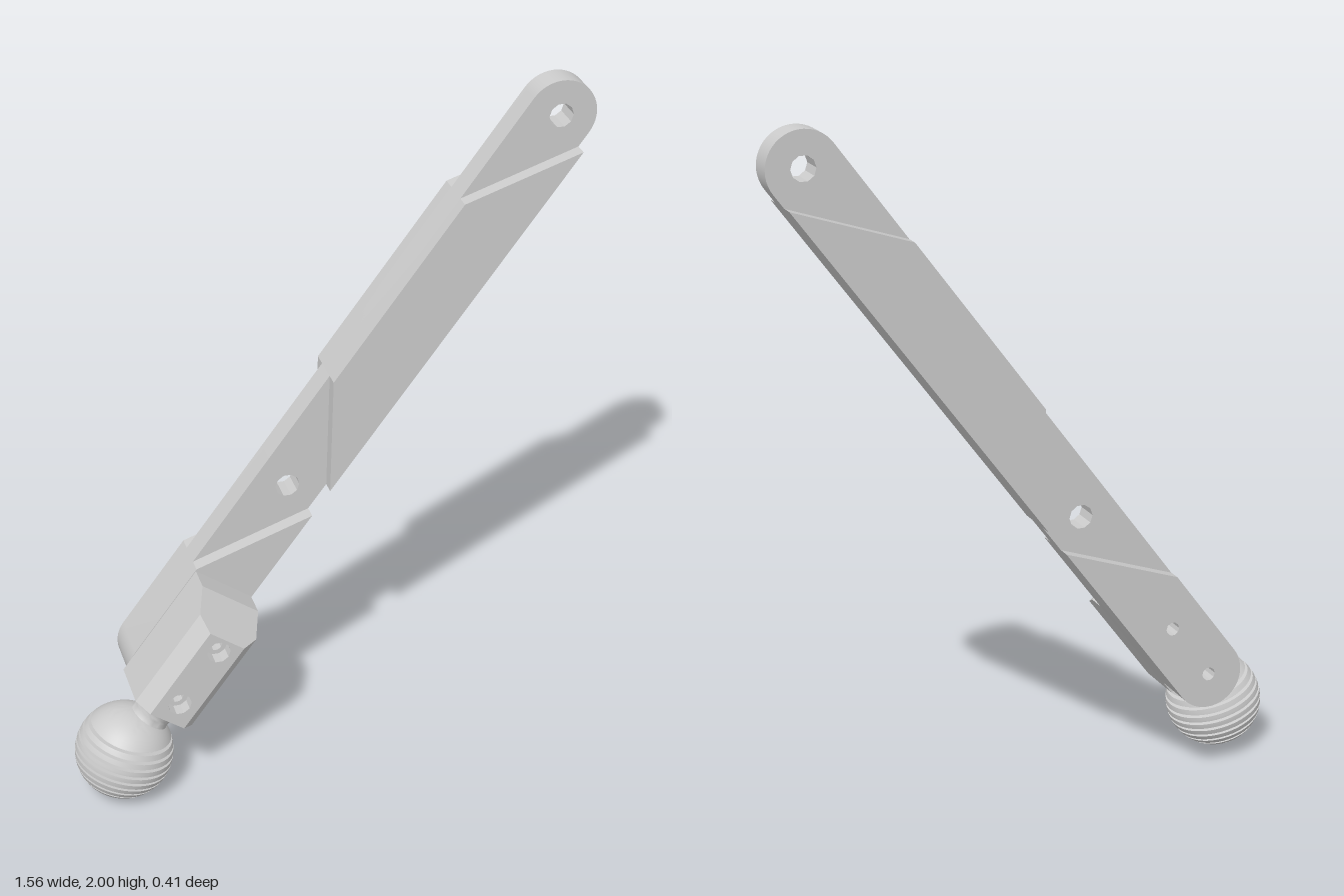
import * as THREE from 'three';
import { toCreasedNormals } from 'three/addons/utils/BufferGeometryUtils.js';

const material = new THREE.MeshStandardMaterial({ color: 0xcccccc });
const HALF = 0.102;            // half the width of the arm
const TOP = 1.298;             // height of the end hole above the middle hole
const SCREWS = [-0.452, -0.648];

function addMesh(parent, name, geometry) {
  const mesh = new THREE.Mesh(toCreasedNormals(geometry, 0.5), material);
  mesh.name = name;
  parent.add(mesh);
  return mesh;
}

function arc(cy, r, from, to, n) {
  return Array.from({ length: n + 1 }, (_, i) => {
    const a = from + ((to - from) * i) / n;
    return new THREE.Vector2(r * Math.cos(a), cy + r * Math.sin(a));
  });
}

// Flat outline with round holes on the centre line, extruded from z0 to z1
function plate(points, holes, z0, z1) {
  const shape = new THREE.Shape(points.map((p) => (p.isVector2 ? p : new THREE.Vector2(...p))));
  for (const [y, r] of holes) {
    shape.holes.push(new THREE.Path(arc(y, r, 0, Math.PI * 2, 10).slice(0, -1)));
  }
  const g = new THREE.ExtrudeGeometry(shape, { depth: z1 - z0, bevelEnabled: false });
  return g.translate(0, 0, z0);
}

// One layer of the clamp block; the outer corners of its front face are moved inward
function blockLayer(z0, z1, half, topY, frontHalf, frontTop, holeRadius) {
  const bottom = -0.713;
  const g = plate(
    [[-half, bottom], [half, bottom], [half, topY], [-half, topY]],
    SCREWS.map((y) => [y, holeRadius]), z0, z1
  );
  const p = g.attributes.position;
  for (let i = 0; i < p.count; i++) {
    if (p.getZ(i) < z1 - 1e-4) continue;
    if (Math.abs(p.getX(i)) > half - 1e-4) p.setX(i, Math.sign(p.getX(i)) * frontHalf);
    if (p.getY(i) > topY - 1e-4) p.setY(i, frontTop);
  }
  g.computeVertexNormals();
  return g;
}

export function createModel() {
  const model = new THREE.Group();
  model.name = 'ballJointArm';

  // Arm frame: origin at the middle hole, y along the arm
  const arm = new THREE.Group();
  arm.name = 'arm';
  arm.position.set(-0.105, 0.862, 0);
  arm.rotation.set(-0.005, 0, -Math.atan2(0.6, 0.8));
  model.add(arm);

  // Thin core with rounded eye and pivot holes
  addMesh(arm, 'core', plate(
    [[-HALF, -0.4], [HALF, -0.4], ...arc(TOP, HALF, 0, Math.PI, 24)],
    [[0, 0.035], [TOP, 0.035]], -0.156, -0.082
  ));

  // Thick upper link with slanted ends
  addMesh(arm, 'upperLink', plate(
    [[-HALF, 0.345], [HALF, 0.055], [HALF, 1.251], [-HALF, 0.962]],
    [], -0.197, -0.043
  ));

  // Thick lower link with a slanted top and rounded foot
  addMesh(arm, 'lowerLink', plate(
    [...arc(SCREWS[1], HALF, Math.PI, Math.PI * 2, 24), [HALF, -0.035], [-HALF, -0.334]],
    SCREWS.map((y) => [y, 0.02]), -0.195, -0.041
  ));

  // Clamp block: straight base, sloped top, chamfered front with counterbores
  const block = new THREE.Group();
  block.name = 'clampBlock';
  arm.add(block);
  addMesh(block, 'blockBase', blockLayer(-0.041, 0.035, 0.1, -0.34, 0.1, -0.34, 0.02));
  addMesh(block, 'blockMiddle', blockLayer(0.035, 0.115, 0.1, -0.34, 0.1, -0.387, 0.02));
  addMesh(block, 'blockFront', blockLayer(0.115, 0.155, 0.1, -0.387, 0.06, -0.41, 0.034));

  // Waisted neck between block and ball
  const neck = [[0.088, -0.82], [0.068, -0.792], [0.058, -0.765], [0.058, -0.745], [0.065, -0.725], [0.08, -0.712]];
  const neckMesh = addMesh(arm, 'neck', new THREE.LatheGeometry(
    new THREE.SplineCurve(neck.map((p) => new THREE.Vector2(...p))).getPoints(14), 36
  ));
  neckMesh.position.z = 0.06;

  // Ball with parallel grooves cut around it
  const R = 0.142;
  const profile = [new THREE.Vector2(0, -R)];
  const at = (y, depth) => profile.push(new THREE.Vector2(Math.sqrt(R * R - y * y) - depth, y));
  for (let i = 0; i < 9; i++) {
    const y = -0.124 + i * 0.024;
    at(y - 0.008, 0);
    at(y, 0);
    at(y + 0.001, 0.013);
    at(y + 0.008, 0.013);
    at(y + 0.009, 0);
  }
  for (let i = 0; i <= 10; i++) {
    const a = 0.62 + (i / 10) * (Math.PI / 2 - 0.62);
    profile.push(new THREE.Vector2(Math.max(0, R * Math.cos(a)), R * Math.sin(a)));
  }
  profile.sort((a, b) => a.y - b.y);
  const ball = addMesh(arm, 'groovedBall', new THREE.LatheGeometry(profile, 48));
  ball.position.set(0, -0.896, 0.06);
  ball.rotation.z = 0.33;

  return model;
}
